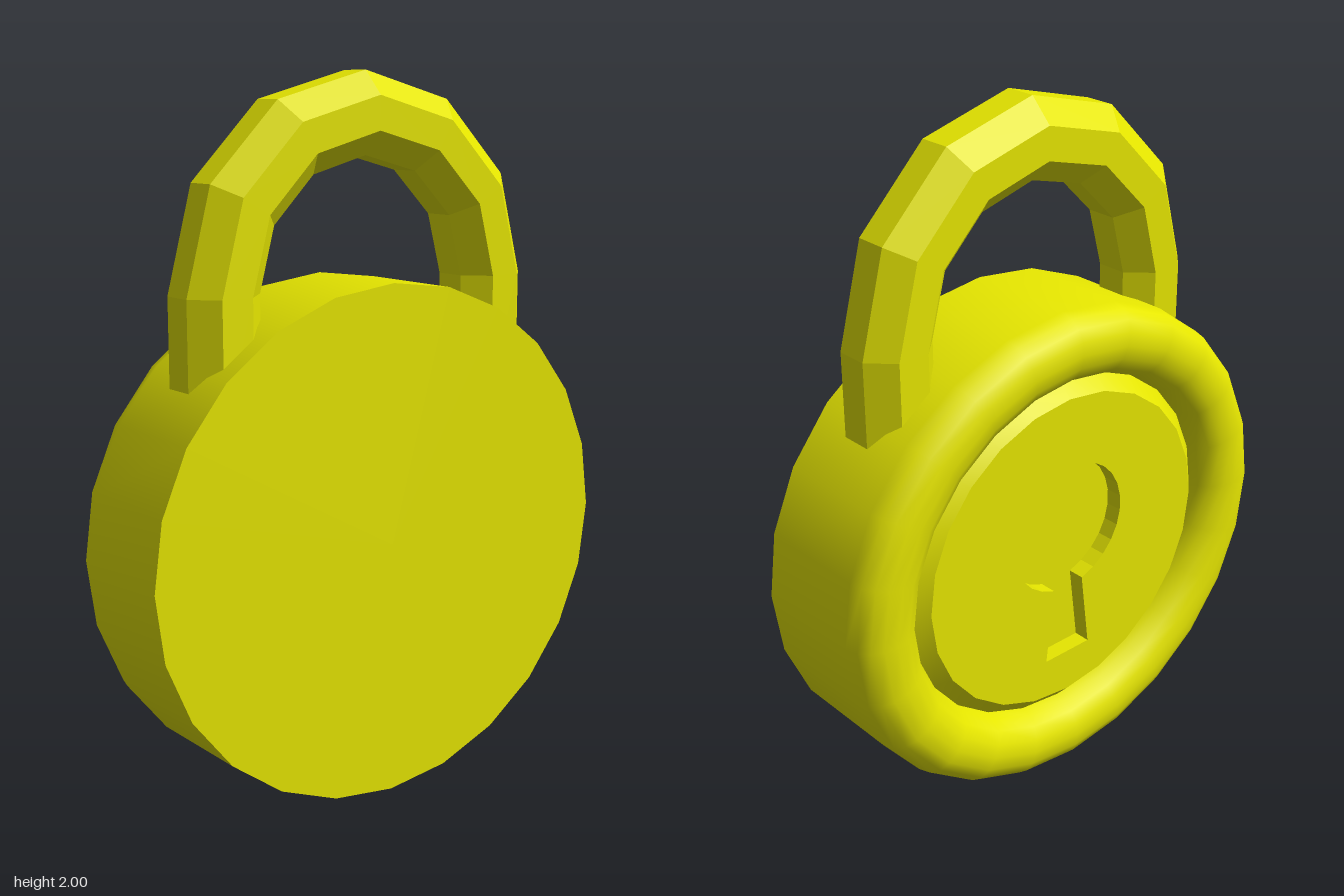
import * as THREE from 'three';
import { toCreasedNormals } from 'three/addons/utils/BufferGeometryUtils.js';

const SIDES = 24;
const CENTRE_Y = 0.722;
const SQUASH = 0.955; // the body is slightly wider than tall

export function createModel() {
  const model = new THREE.Group();
  model.name = 'padlock';
  const yellow = new THREE.MeshStandardMaterial({ color: 0xe6e600 });
  yellow.name = 'yellow';

  const add = (name, geometry) => {
    const mesh = new THREE.Mesh(geometry, yellow);
    mesh.name = name;
    model.add(mesh);
  };
  const placeOnBody = (g) => g.scale(1, SQUASH, 1).translate(0, CENTRE_Y, 0);

  // Body: flat front, rounded rim and groove at the back (radius, z)
  const profile = [
    [0.5, -0.16], [0.545, -0.12], [0.553, -0.15], [0.575, -0.182], [0.61, -0.203],
    [0.65, -0.21], [0.69, -0.206], [0.723, -0.19], [0.746, -0.163], [0.756, -0.125],
    [0.756, 0.21], [0, 0.21],
  ].map(([r, z]) => new THREE.Vector2(r, z));
  const body = new THREE.LatheGeometry(profile, SIDES).rotateX(Math.PI / 2);
  add('body', toCreasedNormals(placeOnBody(body), 0.6));

  // Sunken back plate with a keyhole cut through it
  const plate = new THREE.Shape(Array.from({ length: SIDES }, (_, i) => {
    const a = (i / SIDES) * Math.PI * 2;
    return new THREE.Vector2(0.5 * Math.cos(a), 0.5 * Math.sin(a));
  }));
  const keyhole = new THREE.Path();
  const gap = 0.27; // half the angle taken by the slot
  keyhole.absarc(0, 0.08, 0.205, -Math.PI / 2 + gap, Math.PI * 1.5 - gap, false);
  keyhole.lineTo(-0.083, -0.36);
  keyhole.lineTo(0.083, -0.36);
  keyhole.closePath();
  const plateGeometry = new THREE.ExtrudeGeometry(plate, {
    depth: 0.05, bevelEnabled: false, curveSegments: 12,
  }).translate(0, 0, -0.16);
  plate.holes.push(keyhole);
  plateGeometry.dispose();
  const cutPlate = new THREE.ExtrudeGeometry(plate, {
    depth: 0.05, bevelEnabled: false, curveSegments: 12,
  }).translate(0, 0, -0.16);
  add('keyholePlate', placeOnBody(cutPlate));

  // Floor of the keyhole
  const floor = new THREE.CircleGeometry(0.49, SIDES).rotateY(Math.PI).translate(0, 0, -0.11);
  add('keyholeFloor', placeOnBody(floor));

  add('shackle', shackleGeometry());
  return model;
}

// Eight-sided bar: straight legs joined by a half circle in six steps
function shackleGeometry() {
  const R = 0.4575, ARC_Y = 1.43, LEG_Y = 1.1, STEPS = 6, N = 8;
  const stations = [[0, LEG_Y]];
  for (let i = 0; i <= STEPS; i++) stations.push([(i / STEPS) * Math.PI, ARC_Y]);
  stations.push([Math.PI, LEG_Y]);

  const positions = [], index = [];
  for (const [angle, y] of stations) {
    for (let k = 0; k < N; k++) {
      const t = ((k + 0.5) / N) * Math.PI * 2;
      const r = R + 0.121 * Math.cos(t);
      positions.push(r * Math.cos(angle), y + r * Math.sin(angle), 0.0385 + 0.12 * Math.sin(t));
    }
  }
  for (let s = 0; s < stations.length - 1; s++) {
    for (let k = 0; k < N; k++) {
      const a = s * N + k, b = s * N + ((k + 1) % N);
      index.push(a, a + N, b, b, a + N, b + N);
    }
  }
  const indexed = new THREE.BufferGeometry();
  indexed.setAttribute('position', new THREE.Float32BufferAttribute(positions, 3));
  indexed.setIndex(index);
  const flat = indexed.toNonIndexed();
  flat.computeVertexNormals();
  return flat;
}
